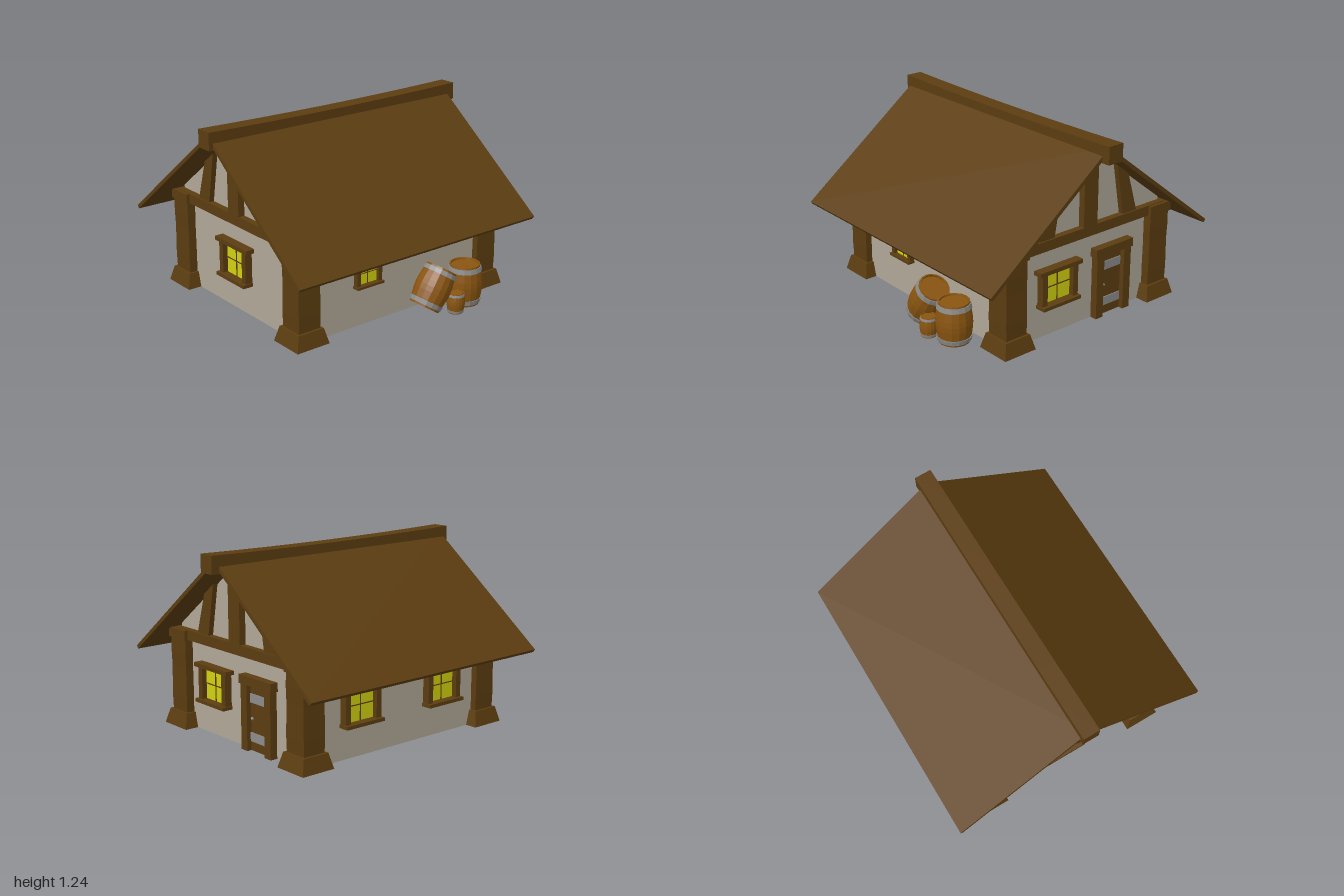
import * as THREE from 'three';

const mat = (color) => new THREE.MeshStandardMaterial({ color, flatShading: true });
const wood = mat(0x5c3d10), plaster = mat(0xb0a898), glass = mat(0xd2d210);
const barrelWood = mat(0x8a5510), iron = mat(0x8c8c8c);

function add(parent, name, geometry, material, x = 0, y = 0, z = 0) {
  const mesh = new THREE.Mesh(geometry, material);
  mesh.name = name;
  mesh.position.set(x, y, z);
  parent.add(mesh);
  return mesh;
}

// Box given by its lower and upper limits on each axis
function block(parent, name, material, [x0, x1], [y0, y1], [z0, z1]) {
  return add(parent, name, new THREE.BoxGeometry(x1 - x0, y1 - y0, z1 - z0), material,
    (x0 + x1) / 2, (y0 + y1) / 2, (z0 + z1) / 2);
}

// Extrudes a [z, y] outline along x from x0 to x1
function prism(outline, x0, x1) {
  const shape = new THREE.Shape(outline.map(([z, y]) => new THREE.Vector2(-z, y)));
  const g = new THREE.ExtrudeGeometry(shape, { depth: x1 - x0, bevelEnabled: false });
  return g.rotateY(Math.PI / 2).translate(x0, 0, 0);
}

// Window facing +z, with its sill resting on y = 0
function makeWindow(name) {
  const g = new THREE.Group();
  g.name = name;
  block(g, 'pane', glass, [-0.107, 0.107], [0.015, 0.235], [-0.01, 0.015]);
  block(g, 'mullion', wood, [-0.003, 0.003], [0.02, 0.23], [0, 0.02]);
  block(g, 'crossbar', wood, [-0.107, 0.107], [0.122, 0.128], [0, 0.02]);
  for (const s of [-1, 1]) {
    add(g, 'jamb', new THREE.BoxGeometry(0.04, 0.22, 0.06), wood, s * 0.125, 0.125, 0.02);
  }
  block(g, 'lintel', wood, [-0.173, 0.173], [0.23, 0.257], [-0.01, 0.062]);
  block(g, 'sill', wood, [-0.153, 0.153], [0, 0.022], [-0.01, 0.073]);
  return g;
}

// Corner post with flared foot and cap
function makePost() {
  const g = new THREE.Group();
  g.name = 'cornerPost';
  const shaft = new THREE.BoxGeometry(0.164, 0.6, 0.164, 1, 6, 1);
  const p = shaft.attributes.position;
  for (let i = 0; i < p.count; i++) {
    const k = 1 - 0.035 * (1 + Math.sin(p.getY(i) * 21)) / 2;
    p.setXYZ(i, p.getX(i) * k, p.getY(i), p.getZ(i) * k);
  }
  add(g, 'shaft', shaft, wood, 0, 0.3, 0);
  const foot = new THREE.CylinderGeometry(0.19 / Math.SQRT2, 0.24 / Math.SQRT2, 0.1, 4);
  add(g, 'foot', foot.rotateY(Math.PI / 4), wood, 0, 0.05, 0);
  add(g, 'cap', new THREE.BoxGeometry(0.182, 0.065, 0.182), wood, 0, 0.623, 0);
  return g;
}

// Timber framing of one gable, facing +x
function makeGable() {
  const g = new THREE.Group();
  g.name = 'gableFrame';
  block(g, 'tieBeam', wood, [0.74, 0.805], [0.593, 0.66], [-0.66, 0.66]);
  block(g, 'kingPost', wood, [0.74, 0.805], [0.65, 1.14], [-0.057, 0.057]);
  for (const s of [-1, 1]) {
    const outline = [[0.41, 0.65], [0.29, 0.65], [0.225, 1.01], [0.322, 0.935]];
    add(g, 'brace', prism(outline.map(([z, y]) => [s * z, y]), 0.74, 0.795), wood);
  }
  return g;
}

// Door facing +x
function makeDoor() {
  const g = new THREE.Group();
  g.name = 'door';
  block(g, 'leaf', wood, [0.75, 0.777], [0, 0.43], [-0.31, -0.13]);
  for (const y of [0.06, 0.31]) {
    block(g, 'hingeBand', iron, [0.76, 0.783], [y, y + 0.058], [-0.305, -0.135]);
  }
  add(g, 'knob', new THREE.SphereGeometry(0.01, 10, 8), iron, 0.785, 0.21, -0.157);
  for (const z of [-0.37, -0.135]) {
    block(g, 'jamb', wood, [0.75, 0.81], [0, 0.43], [z, z + 0.06]);
  }
  block(g, 'lintel', wood, [0.75, 0.815], [0.425, 0.482], [-0.382, -0.062]);
  return g;
}

// Barrel standing on y = 0
function makeBarrel(name) {
  const g = new THREE.Group();
  g.name = name;
  const lathe = (pts) => new THREE.LatheGeometry(pts.map(([r, y]) => new THREE.Vector2(r, y)), 16);
  add(g, 'staves', lathe([[0, 0.012], [0.088, 0.012], [0.09, 0], [0.099, 0], [0.108, 0.05], [0.115, 0.1],
    [0.117, 0.135], [0.115, 0.17], [0.108, 0.22], [0.099, 0.27], [0.09, 0.27], [0.088, 0.258], [0, 0.258]]), barrelWood);
  const hoop = [[0.1, 0.012], [0.106, 0.012], [0.112, 0.042], [0.104, 0.042]];
  add(g, 'lowerHoop', lathe(hoop), iron);
  add(g, 'upperHoop', lathe(hoop.map(([r, y]) => [r, 0.27 - y]).reverse()), iron);
  return g;
}

export function createModel() {
  const model = new THREE.Group();
  model.name = 'cottage';
  const house = new THREE.Group();
  house.name = 'house';
  house.position.z = -0.01;
  model.add(house);

  // Walls with both gables
  add(house, 'walls', prism([[0.64, 0], [0.64, 0.68], [0, 1.17], [-0.64, 0.68], [-0.64, 0]], -0.76, 0.76), plaster);
  block(house, 'floor', mat(0x8a8a85), [-0.755, 0.755], [-0.0005, 0.01], [-0.635, 0.635]);

  // Corner posts, gable frames and roof slopes
  for (const s of [-1, 1]) {
    for (const t of [-1, 1]) {
      const post = makePost();
      post.position.set(s * 0.736, 0, t * 0.603);
      house.add(post);
    }
    const gable = makeGable();
    gable.rotation.y = s > 0 ? 0 : Math.PI;
    house.add(gable);
    const slope = [[0, 1.207], [0.907, 0.508], [0.892, 0.488], [0, 1.175]];
    add(house, s > 0 ? 'frontRoof' : 'backRoof', prism(slope.map(([z, y]) => [s * z, y]), -0.972, 0.946), wood);
  }

  // Ridge beam, sagging slightly in the middle
  const ridge = new THREE.BoxGeometry(2, 0.115, 0.113, 8, 1, 1);
  const p = ridge.attributes.position;
  for (let i = 0; i < p.count; i++) {
    p.setY(i, p.getY(i) - 0.013 * (1 - p.getX(i) ** 2));
  }
  add(house, 'ridgeBeam', ridge, wood, 0, 1.178, 0);

  // Openings: [name, x, y, z, turn, scale]
  const openings = [
    ['rightWindow', 0.76, 0.21, 0.245, Math.PI / 2, 1],
    ['leftWindow', -0.76, 0.21, -0.02, -Math.PI / 2, 1],
    ['backWindow', 0.35, 0.21, -0.64, Math.PI, 1],
    ['backWindow', -0.35, 0.21, -0.64, Math.PI, 1],
    ['frontWindow', -0.262, 0.262, 0.64, 0, 0.685],
  ];
  for (const [name, x, y, z, turn, scale] of openings) {
    const w = makeWindow(name);
    w.position.set(x, y, z);
    w.rotation.y = turn;
    w.scale.setScalar(scale);
    house.add(w);
  }
  const door = makeDoor();
  door.position.z = 0.01;
  house.add(door);

  // Barrels by the front wall: [name, x, y, z, tilt, scale]
  const barrels = [
    ['uprightBarrel', 0.445, 0, 0.775, 0, 1],
    ['leaningBarrel', 0.098, 0.058, 0.77, -0.58, 1],
    ['smallBarrel', 0.293, 0, 0.857, 0, 0.5],
  ];
  for (const [name, x, y, z, tilt, scale] of barrels) {
    const b = makeBarrel(name);
    b.position.set(x, y, z);
    b.rotation.z = tilt;
    b.scale.setScalar(scale);
    model.add(b);
  }
  return model;
}
